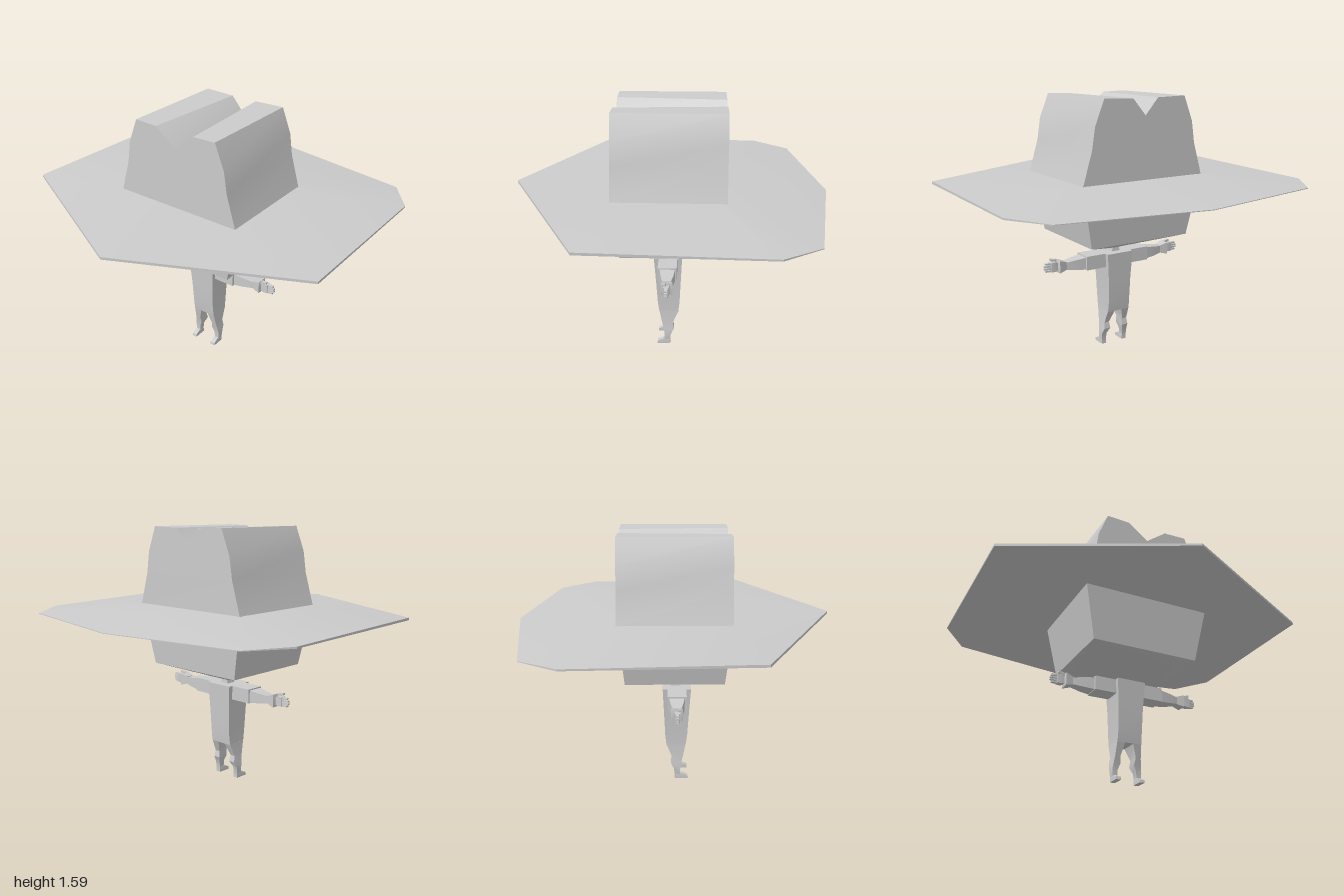
import * as THREE from 'three';
import { toCreasedNormals } from 'three/addons/utils/BufferGeometryUtils.js';

const material = new THREE.MeshStandardMaterial({ color: 0xcccccc, side: THREE.DoubleSide });

// Rectangular cross-sections, facing up (+y) or sideways (+x)
const rectY = (y, x0, x1, z0, z1) => [[x0, y, z1], [x1, y, z1], [x1, y, z0], [x0, y, z0]];
const rectX = (x, y0, y1, z0, z1) => [[x, y0, z1], [x, y0, z0], [x, y1, z0], [x, y1, z1]];

// Closed skin over a row of convex cross-sections; mirror flips it to -x
function loft(rings, mirror = false) {
  const pos = [];
  const tri = (a, b, c) => {
    for (const p of mirror ? [a, c, b] : [a, b, c]) pos.push(mirror ? -p[0] : p[0], p[1], p[2]);
  };
  const n = rings[0].length, last = rings[rings.length - 1];
  for (let r = 0; r < rings.length - 1; r++) {
    for (let i = 0; i < n; i++) {
      const j = (i + 1) % n, a = rings[r], b = rings[r + 1];
      tri(a[i], a[j], b[j]);
      tri(a[i], b[j], b[i]);
    }
  }
  for (let i = 1; i < n - 1; i++) {
    tri(rings[0][0], rings[0][i + 1], rings[0][i]);
    tri(last[0], last[i], last[i + 1]);
  }
  const g = new THREE.BufferGeometry();
  g.setAttribute('position', new THREE.Float32BufferAttribute(pos, 3));
  return g;
}

export function createModel() {
  const model = new THREE.Group();
  const add = (name, geometry, parent = model) => {
    const mesh = new THREE.Mesh(toCreasedNormals(geometry, 0.55), material);
    mesh.name = name;
    parent.add(mesh);
  };

  // Hat crown: extruded profile whose top crease widens towards the front
  const half = [[0.415, 1.11], [0.355, 1.31], [0.335, 1.44], [0.275, 1.59], [0.085, 1.585]];
  const profile = [...half, [0, 1.487], ...half.map(([x, y]) => [-x, y]).reverse()];
  const crown = new THREE.ExtrudeGeometry(
    new THREE.Shape(profile.map(p => new THREE.Vector2(...p))), { depth: 0.66, bevelEnabled: false });
  crown.translate(0, 0, -0.333);
  const cp = crown.attributes.position;
  for (let i = 0; i < cp.count; i++) {
    if (Math.abs(Math.abs(cp.getX(i)) - 0.085) < 0.001 && cp.getZ(i) > 0) cp.setX(i, Math.sign(cp.getX(i)) * 0.13);
  }
  add('hatCrown', crown);

  // Hat brim: pointed outline rising to the foot of the crown
  const outline = [[0, 0.94], [1, 0.45], [1, -0.58], [0.845, -0.8], [0, -0.945], [-0.845, -0.8], [-1, -0.58], [-1, 0.45]];
  const inner = [[0, 0.33], [0.41, 0.33], [0.41, -0.3], [0.39, -0.33], [0, -0.33], [-0.39, -0.33], [-0.41, -0.3], [-0.41, 0.33]];
  const under = z => 1.065 + 0.014 * z;
  add('hatBrim', loft([
    outline.map(([x, z]) => [x, under(z), z]),
    outline.map(([x, z]) => [x, under(z) + (z > 0 ? 0.015 : z > -0.7 ? 0.01 : 0.004), z]),
    inner.map(([x, z]) => [x, 1.117, z]),
  ]));

  // Head with a shallow pyramid for the chin, and neck
  add('head', loft([
    rectY(0.64, -0.025, 0.025, -0.02, 0.03),
    rectY(0.74, -0.338, 0.338, -0.295, 0.29),
    rectY(1.075, -0.405, 0.405, -0.325, 0.325),
  ]));
  add('neck', loft([
    rectY(0.6, -0.035, 0.035, -0.025, 0.045),
    rectY(0.63, -0.025, 0.025, -0.02, 0.035),
    rectY(0.66, -0.025, 0.025, -0.02, 0.035),
  ]));

  // Torso
  add('torso', loft([
    rectY(0.23, -0.078, 0.078, -0.052, 0.07),
    rectY(0.3, -0.077, 0.077, -0.06, 0.08),
    rectY(0.45, -0.081, 0.081, -0.067, 0.09),
    rectY(0.617, -0.092, 0.092, -0.075, 0.102),
  ]));

  for (const side of [1, -1]) {
    const mirror = side < 0, label = mirror ? 'right' : 'left';
    const limb = (name, rings, parent) => add(name, loft(rings, mirror), parent);

    // Leg and foot
    const leg = new THREE.Group();
    leg.name = label + 'Leg';
    model.add(leg);
    limb('trouserLeg', [
      rectY(0.02, 0.063, 0.09, 0.0, 0.036),
      rectY(0.07, 0.06, 0.094, -0.004, 0.036),
      rectY(0.11, 0.044, 0.088, -0.025, 0.043),
      rectY(0.15, 0.05, 0.083, -0.017, 0.052),
      rectY(0.235, 0.025, 0.078, -0.052, 0.07),
    ], leg);
    limb('foot', [
      rectY(0, 0.06, 0.092, 0, 0.083),
      rectY(0.018, 0.06, 0.092, 0, 0.08),
      rectY(0.035, 0.062, 0.09, 0, 0.04),
    ], leg);

    // Arm: sleeve, forearm, wrist and hand
    const arm = new THREE.Group();
    arm.name = label + 'Arm';
    model.add(arm);
    limb('sleeve', [
      rectX(0.08, 0.53, 0.617, -0.045, 0.072),
      rectX(0.225, 0.53, 0.617, -0.045, 0.072),
    ], arm);
    limb('forearm', [
      rectX(0.22, 0.533, 0.61, -0.035, 0.06),
      rectX(0.29, 0.54, 0.602, -0.028, 0.05),
      rectX(0.36, 0.55, 0.592, -0.012, 0.035),
    ], arm);
    limb('wrist', [
      rectX(0.35, 0.549, 0.597, -0.015, 0.035),
      rectX(0.4, 0.535, 0.613, -0.025, 0.045),
      rectX(0.405, 0.555, 0.597, -0.008, 0.03),
    ], arm);
    limb('palm', [
      rectX(0.4, 0.553, 0.595, -0.005, 0.028),
      rectX(0.42, 0.545, 0.605, -0.008, 0.03),
      rectX(0.45, 0.545, 0.603, -0.005, 0.028),
    ], arm);
    limb('thumb', [
      rectX(0.405, 0.595, 0.615, 0.012, 0.032),
      rectX(0.443, 0.61, 0.622, 0.016, 0.034),
    ], arm);
    for (let f = 0; f < 4; f++) {
      const y = 0.546 + f * 0.0148, tip = f % 3 ? 0.491 : 0.483;
      limb('finger', [
        rectX(0.445, y, y + 0.012, 0.0, 0.022),
        rectX(tip, y + 0.001, y + 0.011, 0.003, 0.02),
      ], arm);
    }
  }
  return model;
}
